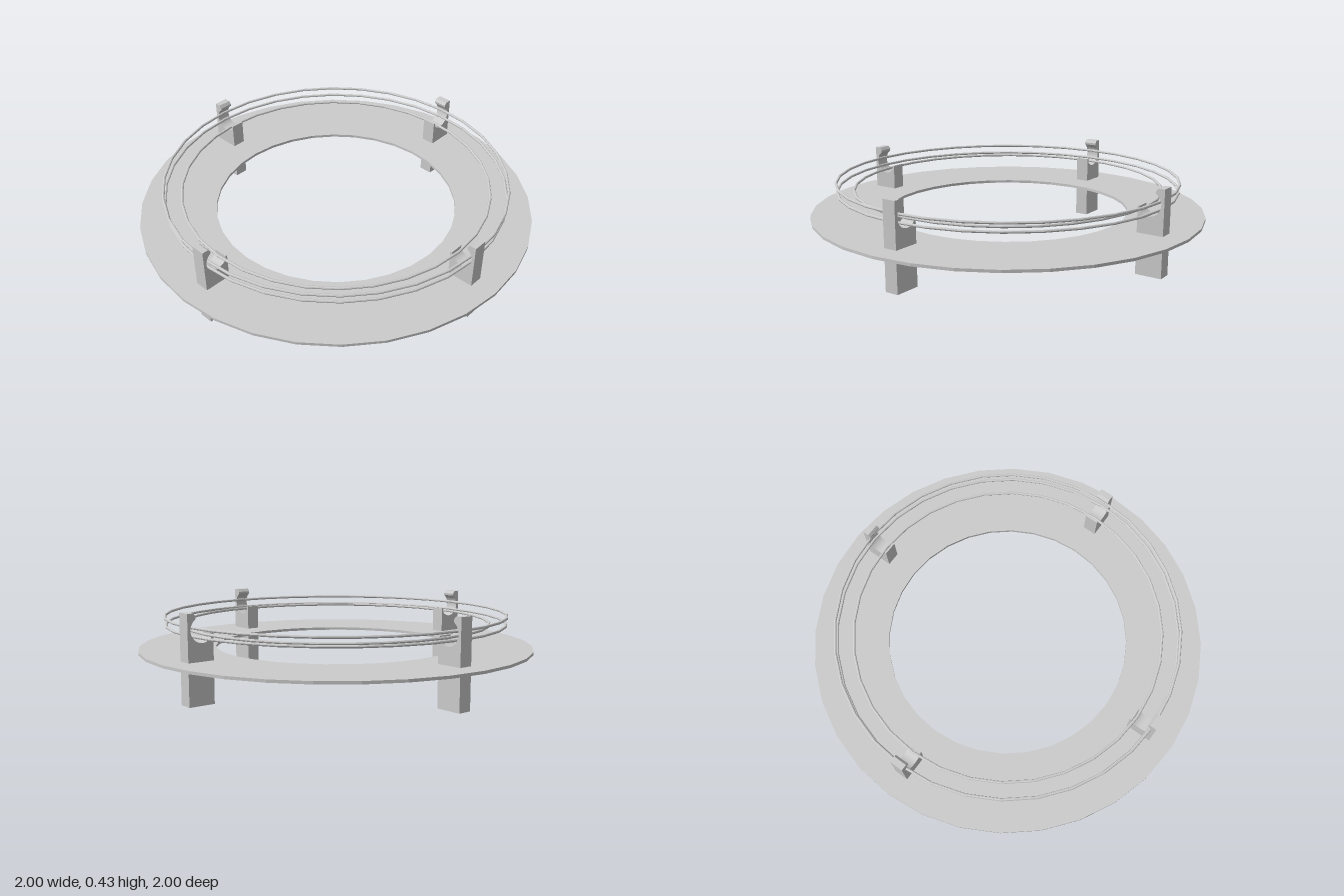
import * as THREE from 'three';

const SEGMENTS = 32;
const material = new THREE.MeshStandardMaterial({ color: 0xcccccc, flatShading: true });

function addMesh(parent, name, geometry) {
  const mesh = new THREE.Mesh(geometry, material);
  mesh.name = name;
  parent.add(mesh);
  return mesh;
}

// Flat annular plate: rectangular section turned counter-clockwise
function plateGeometry(inner, outer, bottom, top) {
  const section = [[inner, bottom], [outer, bottom], [outer, top], [inner, top], [inner, bottom]];
  return new THREE.LatheGeometry(section.map(([x, y]) => new THREE.Vector2(x, y)), SEGMENTS);
}

// Post side profile (x = distance from centre) with a round cradle for the rails
function postGeometry(width) {
  const cx = 0.815, cy = 0.35, r = 0.06;
  const shape = new THREE.Shape();
  shape.moveTo(0.757, 0);
  shape.lineTo(0.89, 0);
  shape.lineTo(0.89, 0.427);
  shape.lineTo(0.858, 0.427);
  shape.lineTo(0.846, 0.412);
  shape.absarc(cx, cy, r, 1.0, -2.5, true);
  shape.lineTo(0.767, 0.333);
  shape.lineTo(0.757, 0.333);
  shape.closePath();
  const geometry = new THREE.ExtrudeGeometry(shape, { depth: width, bevelEnabled: false, curveSegments: 14 });
  return geometry.translate(0, 0, -width / 2);
}

export function createModel() {
  const model = new THREE.Group();
  model.name = 'railedRing';

  addMesh(model, 'basePlate', plateGeometry(0.615, 1, 0.19, 0.204));

  // Three thin hoops resting in the cradles
  const rails = [
    ['upperOuterRail', 0.867, 0.363],
    ['lowerOuterRail', 0.862, 0.322],
    ['innerRail', 0.78, 0.322],
  ];
  for (const [name, radius, y] of rails) {
    const rail = addMesh(model, name, new THREE.TorusGeometry(radius, 0.007, 8, SEGMENTS));
    rail.rotation.x = Math.PI / 2;
    rail.position.y = y;
  }

  // Four posts through the plate, a quarter turn apart
  const post = postGeometry(0.07);
  for (let i = 0; i < 4; i++) {
    addMesh(model, 'supportPost' + (i + 1), post).rotation.y = (i * Math.PI) / 2;
  }
  return model;
}
